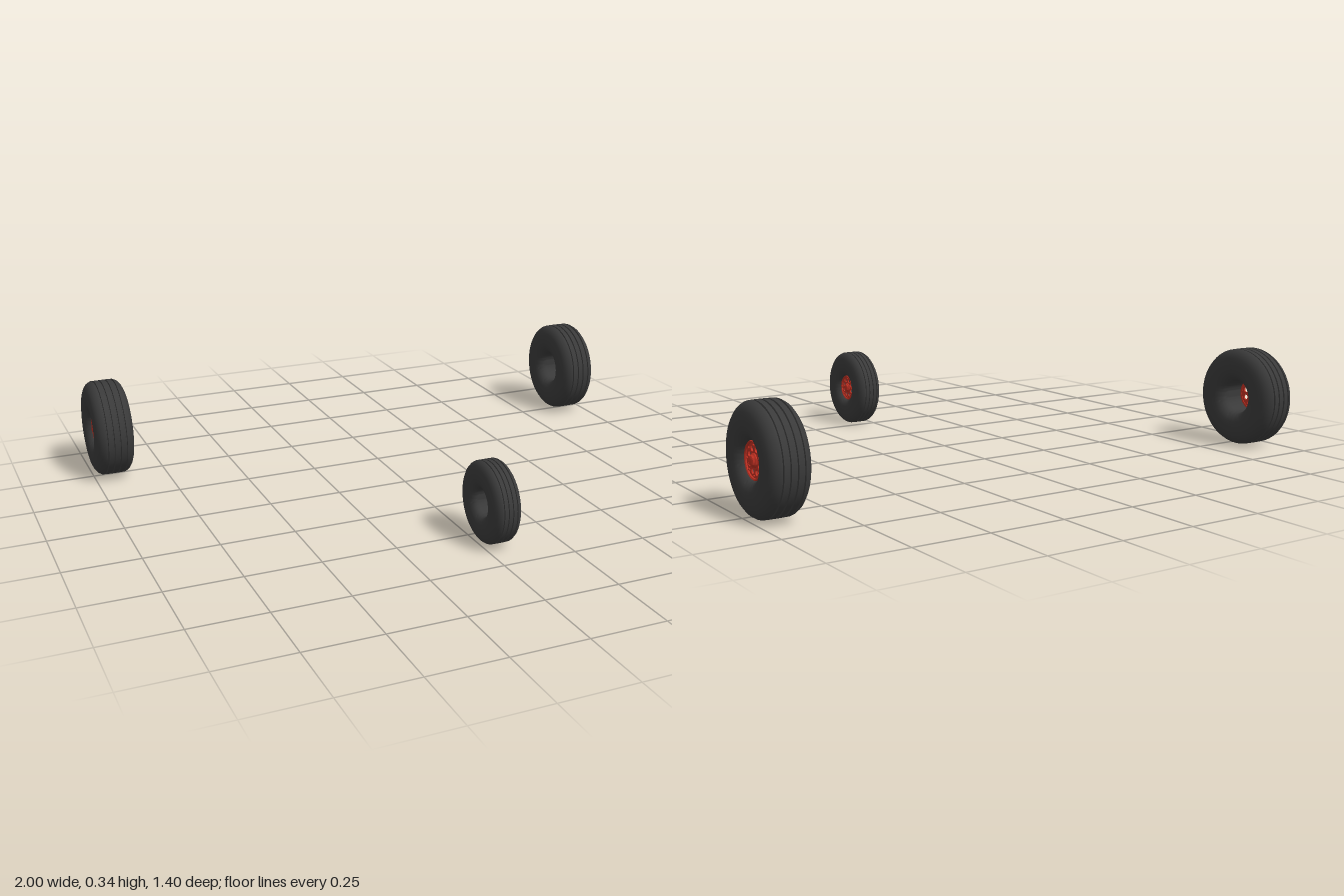
import * as THREE from 'three';
import { toCreasedNormals } from 'three/addons/utils/BufferGeometryUtils.js';

const rubber = new THREE.MeshStandardMaterial({ color: 0x3a3a3a });
const red = new THREE.MeshStandardMaterial({ color: 0xc03022 });

// Revolve [radius, offset] pairs around the x axle
function revolve(points, segments) {
  const g = new THREE.LatheGeometry(points.map(([r, a]) => new THREE.Vector2(r, a)), segments);
  g.rotateZ(-Math.PI / 2);
  return toCreasedNormals(g, 0.6);
}

function addMesh(parent, name, geometry, material) {
  const mesh = new THREE.Mesh(geometry, material);
  mesh.name = name;
  parent.add(mesh);
  return mesh;
}

// Tyre: bore, dished sidewall, rounded shoulder and four tread grooves
function tyreGeometry() {
  const side = [
    [0.056, 0], [0.056, 0.03], [0.058, 0.042], [0.064, 0.052], [0.074, 0.06], [0.088, 0.0655],
    [0.104, 0.0675], [0.122, 0.0672], [0.138, 0.0645], [0.151, 0.059], [0.161, 0.051], [0.167, 0.041],
  ];
  const tread = [];
  for (const a of [-0.033, -0.011, 0.011, 0.033]) {
    const r = 0.169 - Math.abs(a) * 0.02;
    tread.push([r, a - 0.003], [r - 0.005, a - 0.0015], [r - 0.005, a + 0.0015], [r, a + 0.003]);
  }
  const inner = side.map(([r, a]) => [r, -a]);
  return revolve([...inner, ...tread, ...side.slice().reverse()], 72);
}

// Hub disc pierced by eight round holes
function discGeometry() {
  const shape = new THREE.Shape().absarc(0, 0, 0.054, 0, Math.PI * 2);
  for (let i = 0; i < 8; i++) {
    const t = (i + 0.5) * Math.PI / 4;
    const hole = new THREE.Path().absarc(Math.cos(t) * 0.035, Math.sin(t) * 0.035, 0.0088, 0, Math.PI * 2, true);
    shape.holes.push(hole);
  }
  const g = new THREE.ExtrudeGeometry(shape, { depth: 0.006, bevelEnabled: false, curveSegments: 20 });
  g.translate(0, 0, 0.034);
  g.rotateY(Math.PI / 2);
  return toCreasedNormals(g, 0.6);
}

const geo = {
  tyre: tyreGeometry(),
  disc: discGeometry(),
  lip: revolve([[0.05, 0.032], [0.0565, 0.032], [0.0575, 0.043], [0.055, 0.046], [0.051, 0.044], [0.05, 0.032]], 48),
  cap: revolve([[0, 0.03], [0.021, 0.03], [0.021, 0.043], [0.017, 0.046], [0.015, 0.051], [0.009, 0.055], [0, 0.056]], 32),
  bolt: new THREE.CylinderGeometry(0.003, 0.003, 0.005, 6).rotateZ(-Math.PI / 2),
};

// One wheel, its hub facing +x
function makeWheel(name) {
  const wheel = new THREE.Group();
  wheel.name = name;
  addMesh(wheel, 'tyre', geo.tyre, rubber);
  addMesh(wheel, 'hubDisc', geo.disc, red);
  addMesh(wheel, 'rimLip', geo.lip, red);
  addMesh(wheel, 'hubCap', geo.cap, red);
  for (let i = 0; i < 8; i++) {
    const t = i * Math.PI / 4;
    addMesh(wheel, 'hubBolt', geo.bolt, red).position.set(0.042, Math.cos(t) * 0.044, Math.sin(t) * 0.044);
  }
  return wheel;
}

export function createModel() {
  const model = new THREE.Group();
  model.name = 'tricycleWheels';

  // Two large rear wheels with hubs facing outwards
  for (const s of [1, -1]) {
    const wheel = makeWheel(s > 0 ? 'leftRearWheel' : 'rightRearWheel');
    wheel.position.set(s * 0.9325, 0.169, -0.531);
    if (s < 0) wheel.rotation.y = Math.PI;
    model.add(wheel);
  }

  // Smaller, narrower front wheel
  const front = makeWheel('frontWheel');
  front.scale.set(0.7, 0.8, 0.8);
  front.position.set(0.047, 0.135, 0.565);
  model.add(front);
  return model;
}
